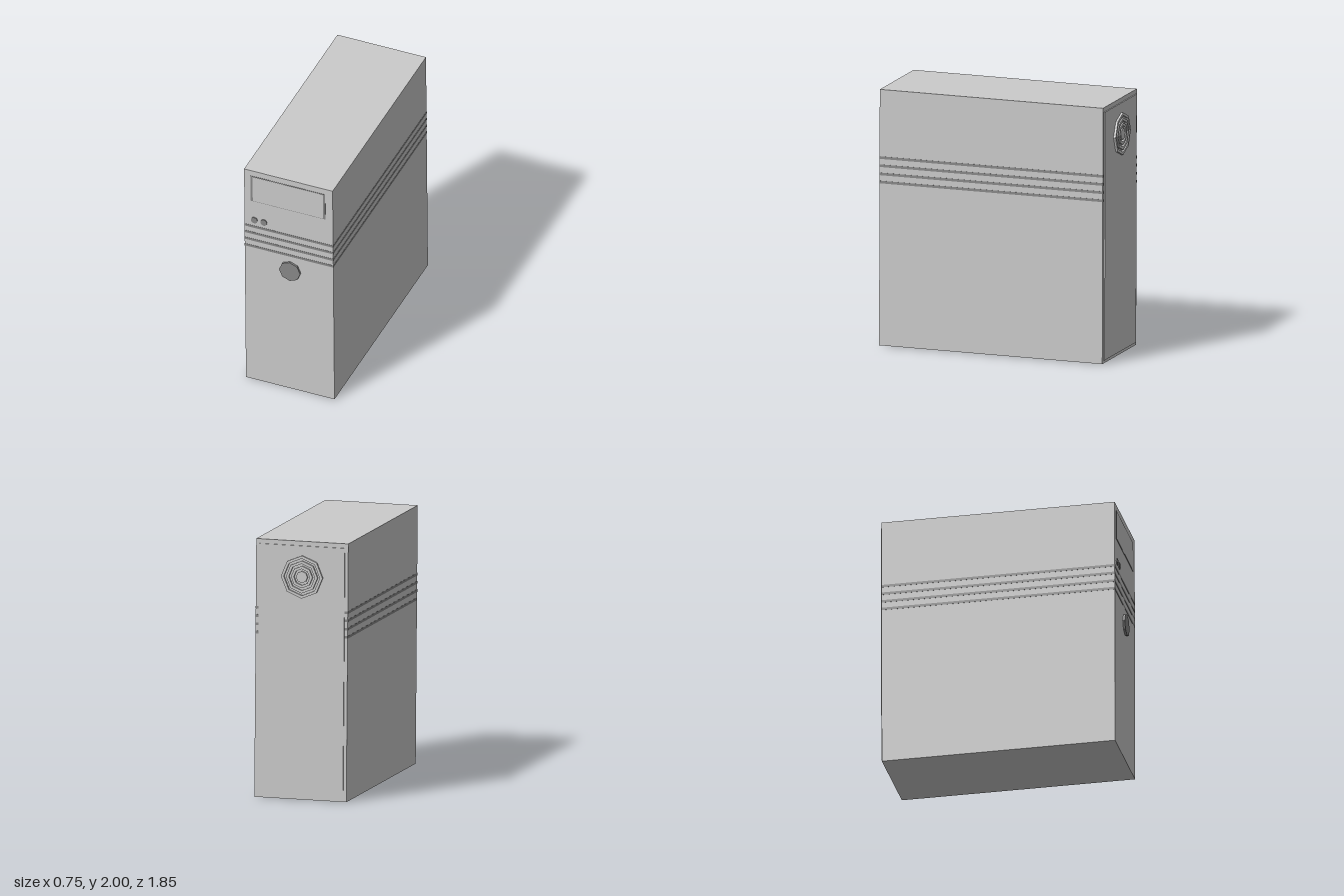
import * as THREE from 'three';

const light = new THREE.MeshStandardMaterial({ color: 0xcccccc, flatShading: true });
const dark = new THREE.MeshStandardMaterial({ color: 0x888888, flatShading: true });

export function createModel() {
  const model = new THREE.Group();
  model.name = 'computerTower';

  // The case leans very slightly, so parts sit in a group pivoted at mid height
  const tower = new THREE.Group();
  tower.name = 'tower';
  tower.position.set(-0.003, 1, 0);
  tower.rotation.z = 0.008;
  model.add(tower);

  const add = (name, geometry, material, x, y, z) => {
    const mesh = new THREE.Mesh(geometry, material);
    mesh.name = name;
    mesh.position.set(x, y - 1, z);
    tower.add(mesh);
    return mesh;
  };
  const box = (name, material, w, h, d, x, y, z) =>
    add(name, new THREE.BoxGeometry(w, h, d), material, x, y, z);
  const disc = (name, material, r, sides, depth, x, y, z) =>
    add(name, new THREE.CylinderGeometry(r, r, depth, sides).rotateX(Math.PI / 2), material, x, y, z);

  // Case
  box('case', light, 0.73, 1.99, 1.81, 0, 1, 0.005);

  // Dark bands running round the case
  [1.465, 1.402, 1.338, 1.275].forEach((y, i) =>
    box('band' + (i + 1), dark, 0.733, 0.02, 1.813, 0, y, 0.005));

  // Drive bay: dark surround with a lighter cover
  box('driveBaySurround', dark, 0.615, 0.238, 0.004, -0.004, 1.827, 0.91);
  box('driveBayCover', light, 0.58, 0.228, 0.004, -0.004, 1.827, 0.9115);

  // Two small round buttons and the octagonal power button
  [-0.283, -0.205].forEach((x, i) =>
    disc('smallButton' + (i + 1), dark, 0.027, 16, 0.012, x, 1.53, 0.911));
  disc('powerButton', dark, 0.087, 8, 0.025, 0.01, 1.132, 0.9135);

  // Raised back panel
  box('backPanel', light, 0.68, 1.93, 0.012, 0, 0.995, -0.903);

  // Fan grille: concentric octagonal rings round a hub
  const octagon = (shape, r) => {
    const points = [];
    for (let i = 0; i < 8; i++) {
      const a = (i * Math.PI) / 4;
      points.push(new THREE.Vector2(r * Math.cos(a), r * Math.sin(a)));
    }
    return shape.setFromPoints(points);
  };
  [0.165, 0.125, 0.085].forEach((r, i) => {
    const shape = octagon(new THREE.Shape(), r);
    shape.holes.push(octagon(new THREE.Path(), r - 0.022));
    const ring = new THREE.ExtrudeGeometry(shape, { depth: 0.02, bevelEnabled: false });
    add('fanRing' + (i + 1), ring, light, -0.005, 1.722, -0.926);
  });
  disc('fanHub', light, 0.045, 8, 0.02, -0.005, 1.722, -0.916);

  return model;
}
